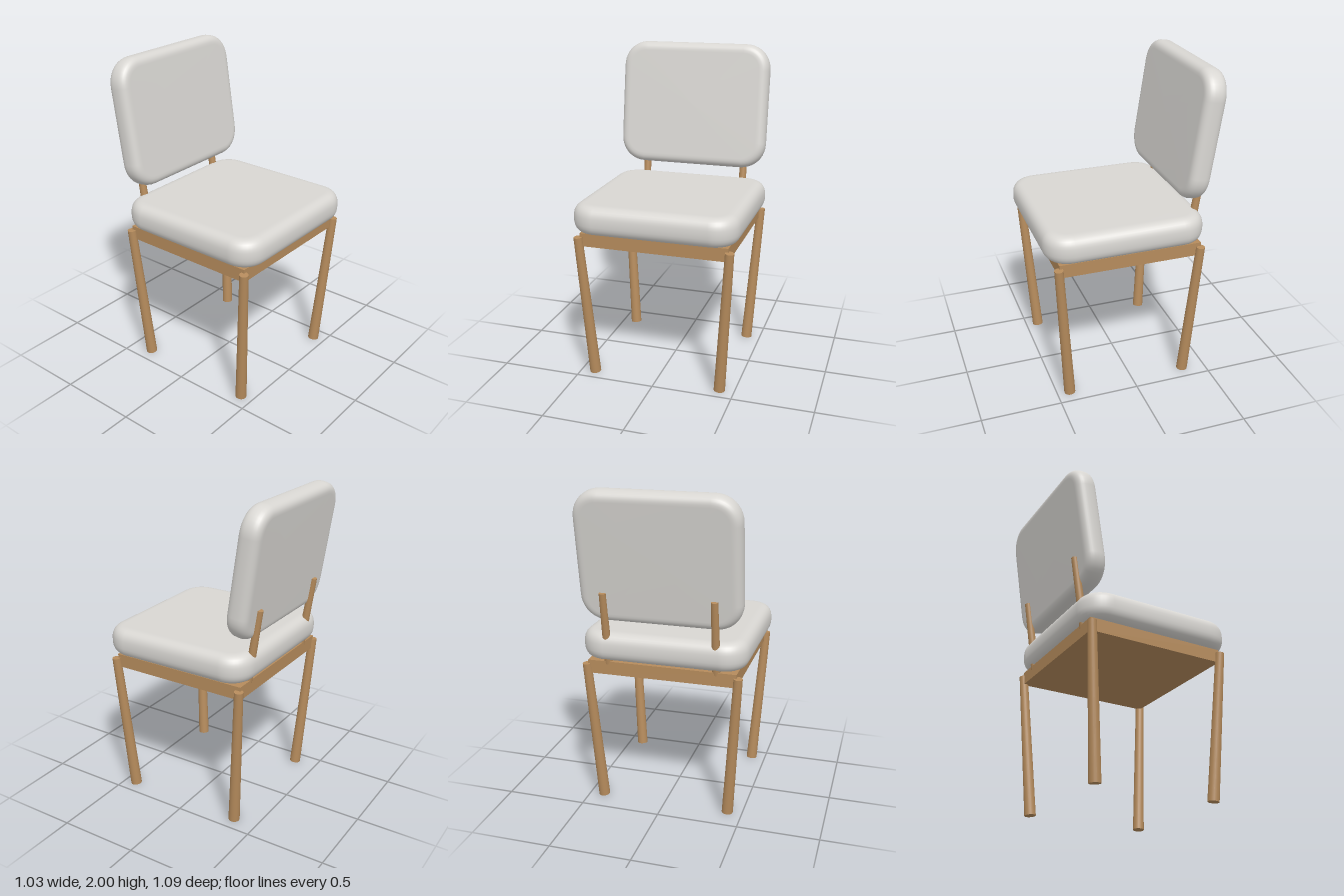
import * as THREE from 'three';

const wood = new THREE.MeshStandardMaterial({ color: 0xb58b5c });
wood.name = 'wood';
const fabric = new THREE.MeshStandardMaterial({ color: 0xd8d6d2 });
fabric.name = 'fabric';

// Soft pad lying flat: rounded-rectangle rings stacked along a rounded edge profile
function cushion(width, height, depth, corner, edge) {
  const steps = 10, rings = 16, positions = [], index = [];
  const count = 4 * (steps + 1);
  const sp = (v, e) => Math.sign(v) * Math.pow(Math.abs(v), e);
  for (let r = 0; r <= rings; r++) {
    const a = -Math.PI / 2 + (Math.PI * r) / rings;
    const inset = edge * (1 - sp(Math.cos(a), 0.8));
    const y = (height / 2) * sp(Math.sin(a), 0.8);
    for (let c = 0; c < 4; c++) {
      const sx = c === 0 || c === 3 ? 1 : -1, sz = c < 2 ? 1 : -1;
      for (let s = 0; s <= steps; s++) {
        const t = (Math.PI / 2) * (c + s / steps);
        positions.push(
          sx * (width / 2 - corner) + (corner - inset) * sp(Math.cos(t), 0.95), y,
          sz * (depth / 2 - corner) + (corner - inset) * sp(Math.sin(t), 0.95));
      }
    }
  }
  for (let r = 0; r < rings; r++) {
    for (let i = 0; i < count; i++) {
      const j = (i + 1) % count;
      const p = r * count + i, q = r * count + j;
      index.push(p, p + count, q, q, p + count, q + count);
    }
  }
  // Close the bottom and top with fans
  const bottom = positions.length / 3, top = bottom + 1, last = rings * count;
  positions.push(0, -height / 2, 0, 0, height / 2, 0);
  for (let i = 0; i < count; i++) {
    const j = (i + 1) % count;
    index.push(bottom, i, j, top, last + j, last + i);
  }
  const g = new THREE.BufferGeometry();
  g.setAttribute('position', new THREE.Float32BufferAttribute(positions, 3));
  g.setIndex(index);
  g.computeVertexNormals();
  return g;
}

// Tapered round rod between two points
function rod(name, from, to, r0, r1) {
  const a = new THREE.Vector3(...from), b = new THREE.Vector3(...to);
  const dir = b.clone().sub(a);
  const mesh = new THREE.Mesh(new THREE.CylinderGeometry(r1, r0, dir.length(), 24), wood);
  mesh.name = name;
  mesh.position.copy(a).add(b).multiplyScalar(0.5);
  mesh.quaternion.setFromUnitVectors(new THREE.Vector3(0, 1, 0), dir.normalize());
  return mesh;
}

export function createModel() {
  const chair = new THREE.Group();
  chair.name = 'chair';

  const seat = new THREE.Mesh(cushion(1.026, 0.18, 1.0, 0.16, 0.08), fabric);
  seat.name = 'seatCushion';
  seat.position.set(0, 1.04, 0.05);
  chair.add(seat);

  // Upright pad leaning backwards
  const back = new THREE.Mesh(cushion(0.98, 0.135, 0.795, 0.165, 0.06), fabric);
  back.name = 'backCushion';
  back.position.set(0, 1.6, -0.423);
  back.rotation.x = Math.PI / 2 - 0.15;
  chair.add(back);

  const frame = new THREE.Mesh(new THREE.BoxGeometry(0.92, 0.083, 0.89), wood);
  frame.name = 'seatFrame';
  frame.position.set(0, 0.905, 0.03);
  chair.add(frame);

  // Legs splay outwards towards the top; posts carry the back
  for (const [side, s] of [['left', 1], ['right', -1]]) {
    chair.add(rod(side + 'FrontLeg', [s * 0.408, 0.002, 0.419], [s * 0.469, 0.922, 0.481], 0.035, 0.027));
    chair.add(rod(side + 'BackLeg', [s * 0.408, 0.002, -0.348], [s * 0.469, 0.922, -0.41], 0.035, 0.027));
    chair.add(rod(side + 'BackPost', [s * 0.335, 0.93, -0.39], [s * 0.335, 1.387, -0.462], 0.026, 0.021));
  }
  return chair;
}
